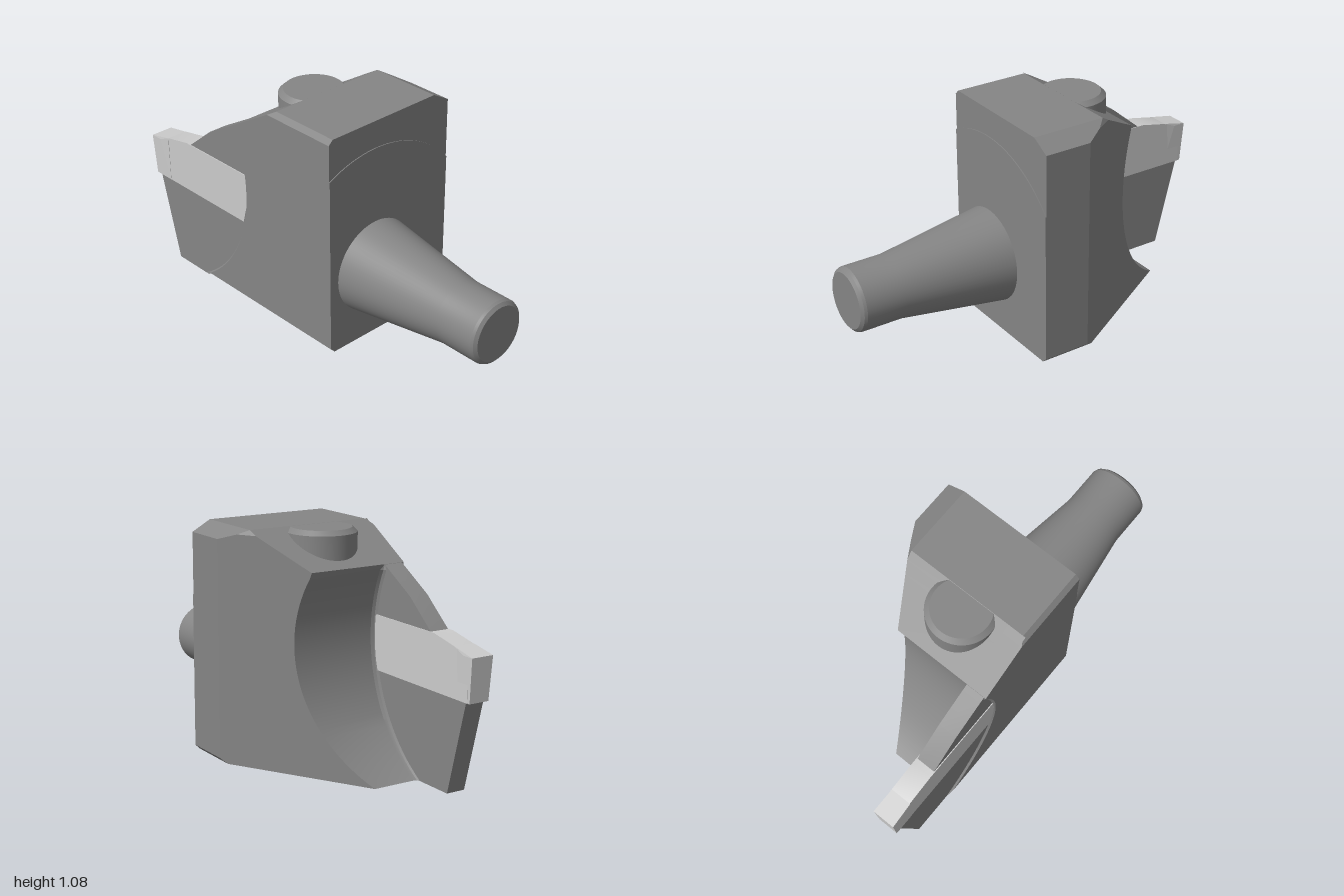
import * as THREE from 'three';
import { toCreasedNormals } from 'three/addons/utils/BufferGeometryUtils.js';
import { ConvexGeometry } from 'three/addons/geometries/ConvexGeometry.js';

const steel = new THREE.MeshStandardMaterial({ color: 0x858585 });
const carbide = new THREE.MeshStandardMaterial({ color: 0xcccccc });

// Centre and radius of the round relief cut across the back of the body
const CUT = { z: -1.0, y: 0.6, r: 0.7 };
const cutZ = (y, r = CUT.r) => CUT.z + Math.sqrt(r * r - (y - CUT.y) ** 2);
const slopeZ = (y) => -0.1 - (1.08 - y) / 0.587;

function part(name, geometry, material = steel) {
  const mesh = new THREE.Mesh(geometry, material);
  mesh.name = name;
  return mesh;
}

// Side profile of [z, y] points, extruded from x0 to x1
function sidePlate(points, x0, x1) {
  const shape = new THREE.Shape(points.map(([z, y]) => new THREE.Vector2(-z, y)));
  const geo = new THREE.ExtrudeGeometry(shape, { depth: x1 - x0, bevelEnabled: false });
  return toCreasedNormals(geo.rotateY(Math.PI / 2).translate(x0, 0, 0), 0.4);
}

// Plan outline of the body at height y, as [x, z], counter-clockwise from above
function bodySection(y) {
  const left = -0.36 + Math.max(0, 0.022 - y, y - 1.058);
  const right = 0.36 - Math.max(0, 0.022 - y, (y - 1.03) * 1.8);
  const rear = Math.max(cutZ(y), slopeZ(y));
  const f = Math.max(0, Math.min(0.02, rear - slopeZ(y))); // fillet against the blade
  const shoulder = Math.max(rear, 0.03 + (right - 0.36) / 0.582);
  const slantX = Math.min(right, 0.36 + (rear - 0.03) * 0.582);
  return [
    [left, 0.256], [right, 0.256], [right, shoulder], [slantX, rear],
    [-0.257 + f, rear], [-0.257 + f * 0.3, rear - f * 0.3], [-0.257, rear - f],
    [-0.35, rear - f * 0.5], [left, rear],
  ];
}

function bodyGeometry() {
  const heights = [0, 0.022];
  for (let i = 1; i <= 36; i++) heights.push(0.022 + (0.92 - 0.022) * i / 36);
  heights.push(1.03, 1.058, 1.08);
  const sections = heights.map(bodySection);
  const n = sections[0].length;
  const pos = [], index = [];
  sections.forEach((s, j) => s.forEach(([x, z]) => pos.push(x, heights[j], z)));
  for (let j = 0; j < sections.length - 1; j++) {
    for (let i = 0; i < n; i++) {
      const a = j * n + i, b = j * n + (i + 1) % n;
      index.push(a, b, b + n, a, b + n, a + n);
    }
  }
  // End caps
  const cap = (j, up) => {
    const pts = sections[j].map(([x, z]) => new THREE.Vector2(x, -z));
    for (const [a, b, c] of THREE.ShapeUtils.triangulateShape(pts, [])) {
      const o = j * n;
      if (up) index.push(o + a, o + b, o + c);
      else index.push(o + a, o + c, o + b);
    }
  };
  cap(0, false);
  cap(sections.length - 1, true);
  const geo = new THREE.BufferGeometry();
  geo.setAttribute('position', new THREE.Float32BufferAttribute(pos, 3));
  geo.setIndex(index);
  return toCreasedNormals(geo, 0.35);
}

// Slightly raised front face, bounded above by a large arc
function frontFaceGeometry() {
  const cx = -0.09, cy = 0.36, r = 0.59;
  const angle = (x) => Math.acos((x - cx) / r);
  const s = new THREE.Shape();
  s.moveTo(-0.36, 0.022);
  s.lineTo(-0.338, 0);
  s.lineTo(0.338, 0);
  s.lineTo(0.36, 0.022);
  s.absarc(cx, cy, r, angle(0.36), angle(-0.36), false);
  s.closePath();
  const geo = new THREE.ExtrudeGeometry(s, { depth: 0.01, bevelEnabled: false, curveSegments: 48 });
  return toCreasedNormals(geo.translate(0, 0, 0.25), 0.4);
}

// Revolved [radius, height] profile
function turned(points) {
  const pts = points.map(([r, h]) => new THREE.Vector2(r, h));
  return toCreasedNormals(new THREE.LatheGeometry(pts, 64), 0.3);
}

export function createModel() {
  const group = new THREE.Group();

  group.add(part('body', bodyGeometry()));
  group.add(part('frontFace', frontFaceGeometry()));

  // Tapered round shank
  const shank = part('shank', turned([
    [0.225, 0.25], [0.224, 0.26], [0.15, 0.78], [0.15, 0.975],
    [0.145, 0.988], [0.13, 1.0], [0, 1.0],
  ]).rotateX(Math.PI / 2));
  shank.position.set(-0.09, 0.36, 0);
  group.add(shank);

  // Clamp screw head sunk in the sloping top
  const screw = part('clampScrew', turned([
    [0, 0.85], [0.16, 0.85], [0.16, 1.058], [0.137, 1.079], [0, 1.079],
  ]));
  screw.position.set(-0.06, 0, -0.165);
  group.add(screw);

  // Thin support blade, starting just inside the relief cut
  const profile = [];
  for (let i = 0; i <= 24; i++) {
    const y = 0.92 * i / 24;
    profile.push([cutZ(y, 0.706), y]);
  }
  profile.push([-0.56, 0.81], [-0.71, 0.685], [-0.8, 0.6], [-0.96, 0.43], [-0.85, 0]);
  group.add(part('blade', sidePlate(profile, -0.35, -0.257)));

  // Cutting insert: bar and wider cutting head
  group.add(part('insertBar', sidePlate([
    [-0.335, 0.43], [-0.31, 0.52], [-0.302, 0.6], [-0.305, 0.684], [-0.74, 0.684],
    [-0.88, 0.655], [-0.93, 0.63], [-0.97, 0.62], [-0.97, 0.43],
  ], -0.354, -0.253), carbide));
  const head = [];
  for (const s of [-1, 1]) {
    for (const [half, y, z] of [
      [0.055, 0.63, -1.0], [0.055, 0.63, -0.94], [0.051, 0.655, -0.88],
      [0.05, 0.43, -0.985], [0.05, 0.43, -0.88],
    ]) head.push(new THREE.Vector3(-0.305 + s * half, y, z));
  }
  group.add(part('insertHead', new ConvexGeometry(head), carbide));

  return group;
}
